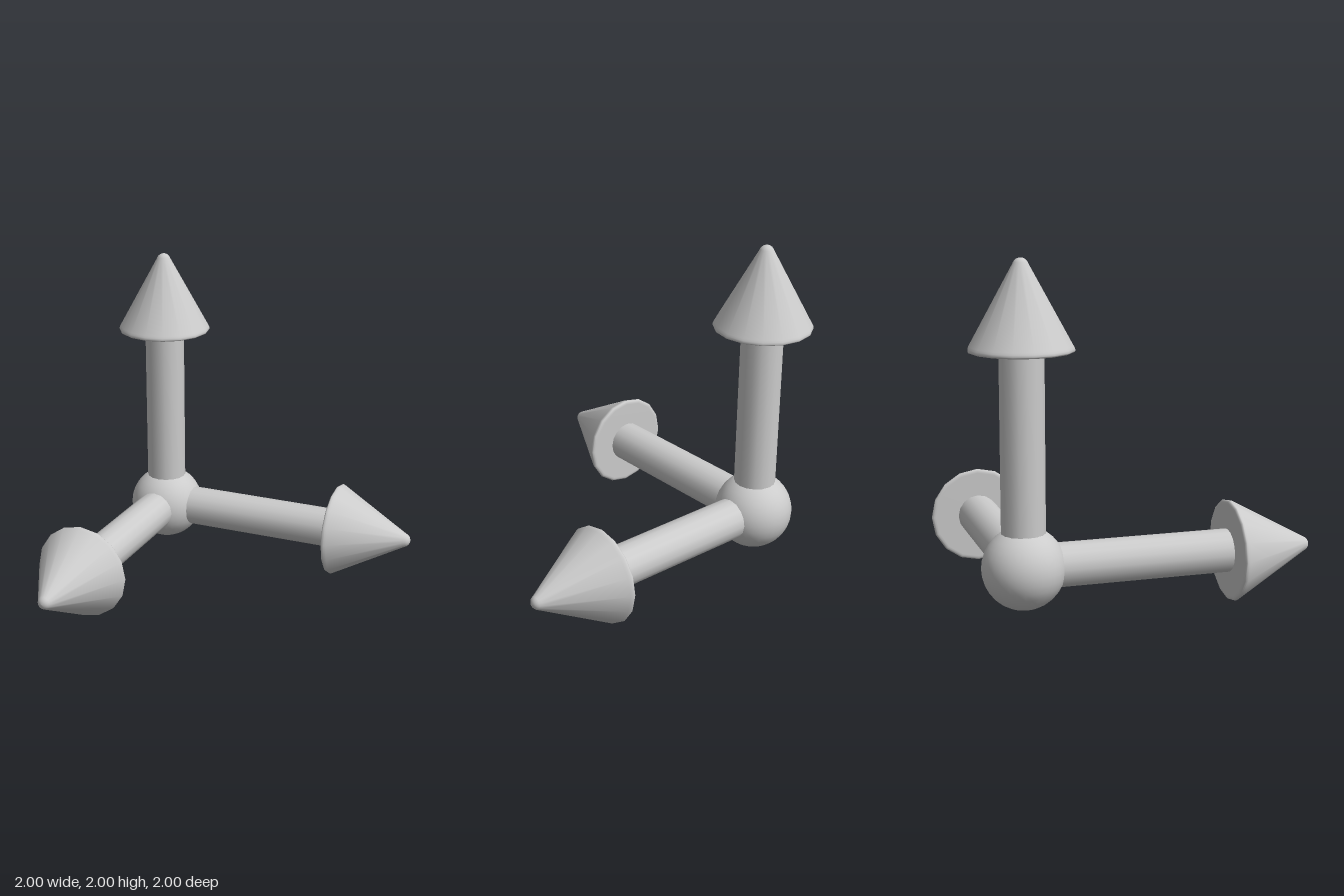
import * as THREE from 'three';

const SIDES = 16;
const HUB_RADIUS = 0.235;
const SHAFT_RADIUS = 0.125;
const HEAD_START = 1.2; // distance from the hub centre to the arrowhead base

const material = new THREE.MeshStandardMaterial({ color: 0xcccccc });

function mesh(name, geometry) {
  const m = new THREE.Mesh(geometry, material);
  m.name = name;
  return m;
}

// Arrowhead: flat base, small rounded rim, straight flank and a rounded tip
function headGeometry() {
  const points = [
    [0, 0], [0.268, 0], [0.28, 0.001], [0.289, 0.005],
    [0.293, 0.012], [0.29, 0.023], [0.284, 0.035], [0.046, 0.468],
  ].map(([r, y]) => new THREE.Vector2(r, y));
  const tipRadius = 0.045, top = 0.505;
  for (let i = 0; i <= 4; i++) {
    const a = THREE.MathUtils.degToRad(28.5 + (90 - 28.5) * i / 4);
    points.push(new THREE.Vector2(
      i === 4 ? 0 : tipRadius * Math.cos(a),
      top - tipRadius + tipRadius * Math.sin(a)));
  }
  return new THREE.LatheGeometry(points, SIDES);
}

// One arrow pointing up +y from the hub centre
function arrow(name) {
  const group = new THREE.Group();
  group.name = name;
  const shaft = mesh('shaft', new THREE.CylinderGeometry(SHAFT_RADIUS, SHAFT_RADIUS, HEAD_START, SIDES));
  shaft.position.y = HEAD_START / 2;
  const head = mesh('arrowhead', headGeometry());
  head.position.y = HEAD_START;
  group.add(shaft, head);
  return group;
}

export function createModel() {
  const model = new THREE.Group();
  model.name = 'axisArrows';

  // Everything hangs off the hub at the corner
  const axes = new THREE.Group();
  axes.name = 'axes';
  axes.position.set(-0.706, 0.295, -0.706);
  axes.add(mesh('hub', new THREE.SphereGeometry(HUB_RADIUS, 32, 16)));

  const up = arrow('upArrow');
  const side = arrow('sideArrow');
  side.rotation.z = -Math.PI / 2;
  const front = arrow('frontArrow');
  front.rotation.x = Math.PI / 2;
  axes.add(up, side, front);

  model.add(axes);
  return model;
}
